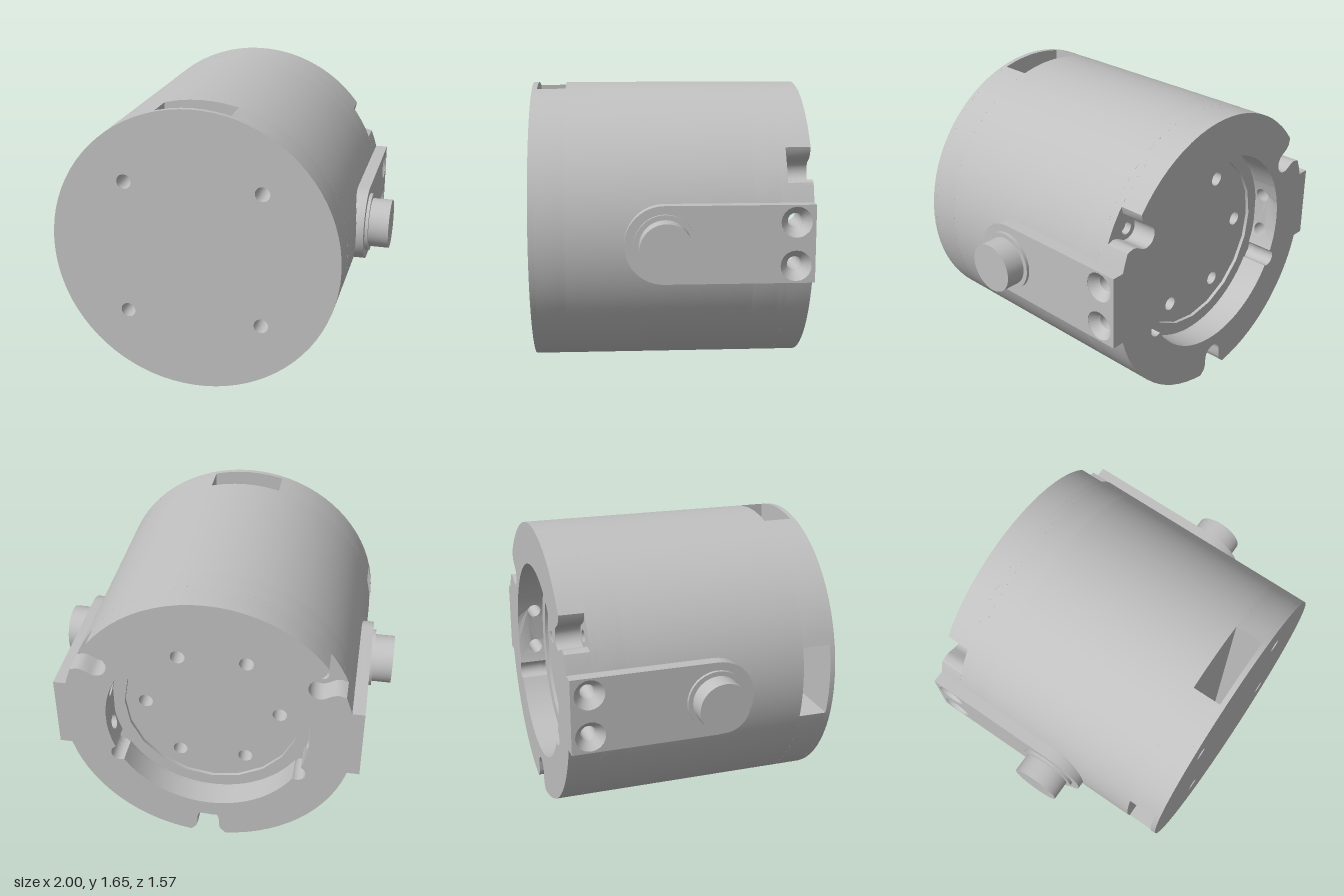
import * as THREE from 'three';
import { toCreasedNormals } from 'three/addons/utils/BufferGeometryUtils.js';

const R = 0.825, BORE = 0.58, PLATE = 0.215, PIN_Z = 0.045;
const BACK = -0.775, FLOOR = -0.595;
const rad = THREE.MathUtils.degToRad;
const polar = (r, deg) => new THREE.Vector2(r * Math.cos(rad(deg)), r * Math.sin(rad(deg)));

// Points along an arc about (cx, cy), from a0 to a1 degrees
function arc(r, a0, a1, cx = 0, cy = 0, n = Math.max(2, Math.ceil(Math.abs(a1 - a0) / 5))) {
  return Array.from({ length: n + 1 }, (_, i) =>
    polar(r, a0 + (a1 - a0) * i / n).add(new THREE.Vector2(cx, cy)));
}

function addHole(shape, x, y, r) {
  shape.holes.push(new THREE.Path(arc(r, 360, 0, x, y, 20).slice(0, -1)));
}

function disc(holes = [], r = R) {
  const s = new THREE.Shape(arc(r, 0, 360, 0, 0, 80).slice(0, -1));
  holes.forEach(([x, y, hr]) => addHole(s, x, y, hr));
  return s;
}

function extrude(shapes, z0, z1) {
  const g = new THREE.ExtrudeGeometry(shapes, { depth: z1 - z0, bevelEnabled: false });
  return g.translate(0, 0, z0);
}

// U-shaped notch with flared mouth, cut inwards from the rim at angle a
function notch(a) {
  const c = polar(0.715, a);
  const at = (x, y) => new THREE.Vector2(x, y).rotateAround(new THREE.Vector2(), rad(a));
  return [polar(R, a - 7.3), at(0.79, -0.075), at(0.76, -0.065),
    ...arc(0.065, a - 90, a - 270, c.x, c.y, 12),
    at(0.76, 0.065), at(0.79, 0.075), polar(R, a + 7.3)];
}

// Part of the back rim between the two side plates
function rimSection(a0, a1, notches, grooves, holes) {
  const o = rad(0) + Math.asin(PLATE / R) * 180 / Math.PI;
  const i = Math.asin(PLATE / BORE) * 180 / Math.PI;
  const pts = [];
  let a = a0 + o;
  for (const n of notches) {
    pts.push(...arc(R, a, n - 7.3).slice(0, -1), ...notch(n));
    a = n + 7.3;
  }
  pts.push(...arc(R, a, a1 - o));
  a = a1 - i;
  for (const g of grooves) {
    const c = polar(BORE, g);
    pts.push(...arc(BORE, a, g + 4.9), ...arc(0.05, g + 90, g - 90, c.x, c.y, 10));
    a = g - 4.9;
  }
  pts.push(...arc(BORE, a, a0 + i));
  const s = new THREE.Shape(pts);
  holes.forEach(h => { const c = polar(0.715, h); addHole(s, c.x, c.y, 0.035); });
  return s;
}

// Round-ended side plate; u runs backwards along the body
function plateShape(holeR) {
  const pts = arc(PLATE, 90, 270, -PIN_Z, 0, 24);
  for (let k = 0; k <= 10; k++) pts.push(new THREE.Vector2(-BACK, -PLATE + 2 * PLATE * k / 10));
  const s = new THREE.Shape(pts);
  for (const v of [-0.12, 0.12]) addHole(s, 0.67, v, holeR);
  return s;
}

export function createModel() {
  const model = new THREE.Group();
  const grey = new THREE.MeshStandardMaterial({ color: 0xc0c0c0 });
  grey.name = 'plain grey';
  grey.side = THREE.DoubleSide;
  const body = new THREE.Group();
  body.name = 'body';
  body.position.y = R;
  body.rotation.y = -0.0095;
  model.add(body);
  const add = (parent, name, geo) => {
    const m = new THREE.Mesh(toCreasedNormals(geo, 0.5), grey);
    m.name = name;
    parent.add(m);
    return m;
  };

  // Front cover with four holes
  const frontHoles = [];
  for (const x of [-0.39, 0.39]) for (const y of [-0.39, 0.39]) frontHoles.push([x, y, 0.042]);
  add(body, 'frontCover', extrude(disc(frontHoles), 0.745, 0.775));

  // Slotted layer: openings at the top, bottom and right side
  const w = 0.21, t = Math.acos(w / R) * 180 / Math.PI;
  const pieces = [
    new THREE.Shape(arc(R, -t, t)),
    new THREE.Shape([...arc(R, 180 - t, 90 + t), new THREE.Vector2(-w, w)]),
    new THREE.Shape([...arc(R, 270 - t, 180 + t), new THREE.Vector2(-w, -w)].reverse()),
  ];
  addHole(pieces[0], 0.39, 0.39, 0.042);
  addHole(pieces[0], 0.39, -0.39, 0.042);
  addHole(pieces[1], -0.39, 0.39, 0.042);
  addHole(pieces[2], -0.39, -0.39, 0.042);
  add(body, 'slottedLayer', extrude(pieces, 0.58, 0.745));

  // Main barrel and the recess floor with six holes
  add(body, 'barrel', extrude(disc(), -0.45, 0.58));
  const floorHoles = [0, 60, 120, 180, 240, 300].map(a => {
    const p = polar(0.39, a);
    return [p.x, p.y, 0.042];
  });
  add(body, 'recessFloor', extrude(disc(floorHoles), FLOOR, -0.45));

  // Low ledge around the recess floor
  add(body, 'recessLedge', extrude(disc([[0, 0, 0.51]], BORE + 0.01), FLOOR - 0.02, FLOOR));

  // Back rim: notched outer layer over a layer with small holes
  add(body, 'rim', extrude([
    rimSection(0, 180, [30, 150], [], []),
    rimSection(180, 360, [270], [333, 207], []),
  ], BACK, -0.635));
  add(body, 'rimBase', extrude([
    rimSection(0, 180, [], [], [30, 150]),
    rimSection(180, 360, [], [333, 207], [270]),
  ], -0.635, FLOOR));

  // Side plates with countersunk holes and round pins
  for (const side of [1, -1]) {
    const mount = new THREE.Group();
    mount.name = side > 0 ? 'leftMount' : 'rightMount';
    mount.rotation.y = side > 0 ? Math.PI / 2 : -Math.PI / 2;
    body.add(mount);
    const place = (name, g) => {
      if (side < 0) {
        // Mirror front to back and restore the corner order
        g = g.index ? g.toNonIndexed() : g;
        g.scale(-1, 1, 1);
        for (const key of ['position', 'normal', 'uv']) {
          const at = g.attributes[key], n = at.itemSize, d = at.array;
          for (let f = 0; f < at.count; f += 3) {
            for (let k = 0; k < n; k++) {
              const i = (f + 1) * n + k, j = (f + 2) * n + k;
              [d[i], d[j]] = [d[j], d[i]];
            }
          }
        }
      }
      add(mount, name, g);
    };
    // The inner face follows the curve of the bore
    const base = extrude(plateShape(0.042), 0.5, 0.815);
    const p = base.attributes.position;
    for (let k = 0; k < p.count; k++) {
      if (p.getZ(k) < 0.51) p.setZ(k, Math.sqrt(BORE ** 2 - p.getY(k) ** 2));
    }
    place('plateBase', base);
    place('plate', extrude(plateShape(0.085), 0.815, 0.867));
    for (const v of [-0.12, 0.12]) {
      const cone = new THREE.CylinderGeometry(0.085, 0.042, 0.05, 24, 1, true);
      place('countersink', cone.rotateX(Math.PI / 2).translate(0.67, v, 0.84));
    }
    const round = (r, z0, z1) => new THREE.CylinderGeometry(r, r, z1 - z0, 40)
      .rotateX(Math.PI / 2).translate(-PIN_Z + 0.005, 0, (z0 + z1) / 2);
    place('pinCollar', round(0.17, 0.85, 0.885));
    place('pin', round(0.143, 0.88, 1.0));
  }
  return model;
}
